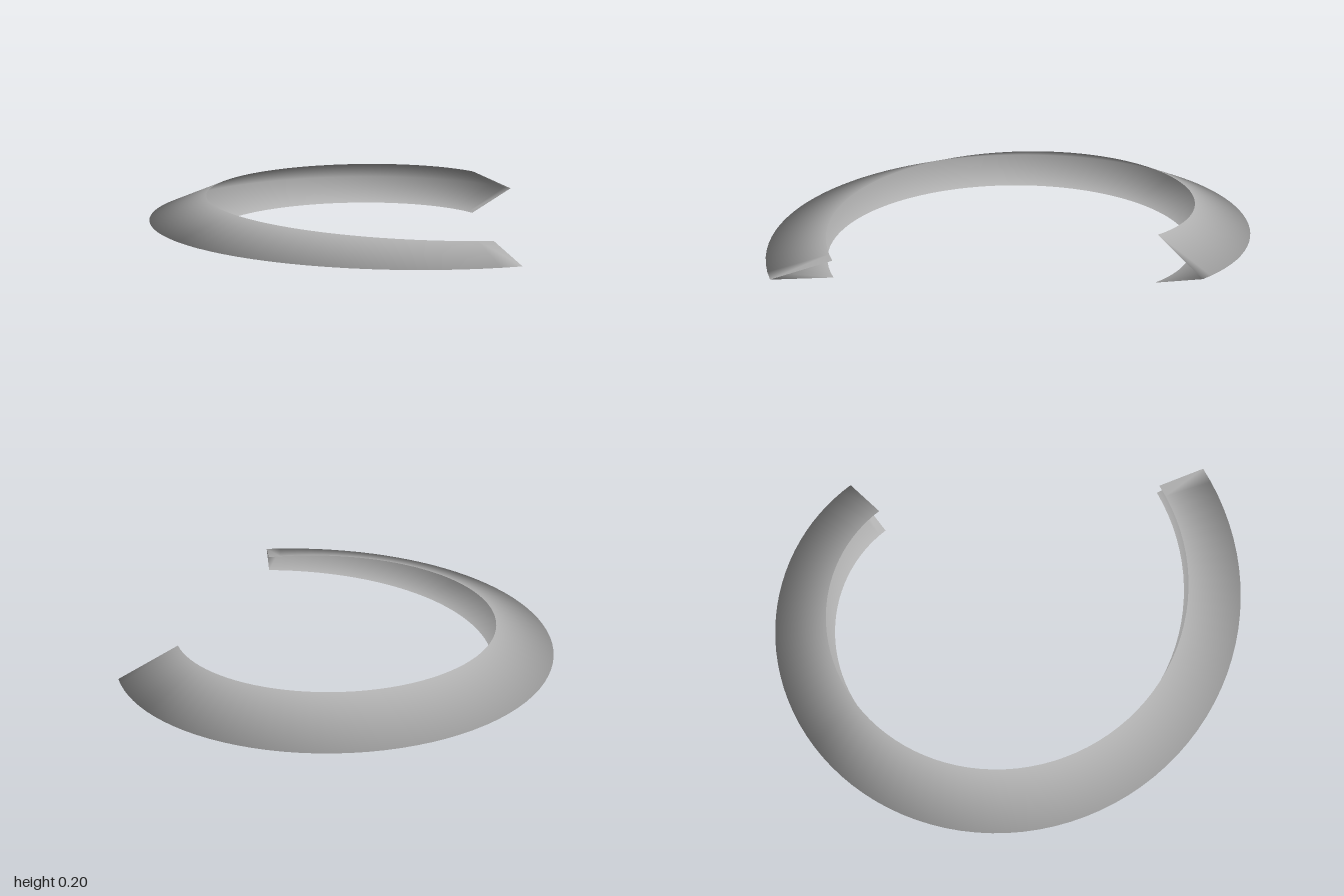
import * as THREE from 'three';

const SEGMENTS = 72;
const START = THREE.MathUtils.degToRad(25.2 - 90); // angles measured from the front (+z)
const END = THREE.MathUtils.degToRad(281 - 90);
const WIDTH = 0.228;
const MID_Y = 0.099;

// Outer rim: a spiral whose radius of curvature (a - b * s) shrinks steadily
function rim(s) {
  const a = 1.052, b = 0.09;
  const x = -(a * Math.sin(s) - b * (s * Math.sin(s) + Math.cos(s) - 1));
  const z = 0.91 - (a * (1 - Math.cos(s)) - b * (Math.sin(s) - s * Math.cos(s)));
  return [x, z];
}

// Open V-shaped sheet swept along the rim, growing taller toward the back end
function bandGeometry() {
  const positions = [], indices = [];
  for (let i = 0; i <= SEGMENTS; i++) {
    const t = i / SEGMENTS;
    const s = START + (END - START) * t;
    const [x, z] = rim(s);
    const half = 0.034 + 0.065 * (1 - (1 - t) ** 3);
    const ix = x + Math.sin(s) * WIDTH, iz = z - Math.cos(s) * WIDTH;
    positions.push(ix, MID_Y + half, iz, x, MID_Y, z, ix, MID_Y - half, iz);
    if (i === SEGMENTS) break;
    for (let j = 0; j < 2; j++) {
      const p = i * 3 + j, q = p + 3;
      indices.push(p, q, p + 1, p + 1, q, q + 1);
    }
  }
  const geometry = new THREE.BufferGeometry();
  geometry.setAttribute('position', new THREE.Float32BufferAttribute(positions, 3));
  geometry.setIndex(indices);
  geometry.computeVertexNormals(); // smooth across the outer ridge
  return geometry;
}

export function createModel() {
  const group = new THREE.Group();
  group.name = 'openRing';
  const grey = new THREE.MeshStandardMaterial({ color: 0xb0b0b0, side: THREE.DoubleSide });
  grey.name = 'grey';
  const band = new THREE.Mesh(bandGeometry(), grey);
  band.name = 'curvedBand';
  group.add(band);
  return group;
}
